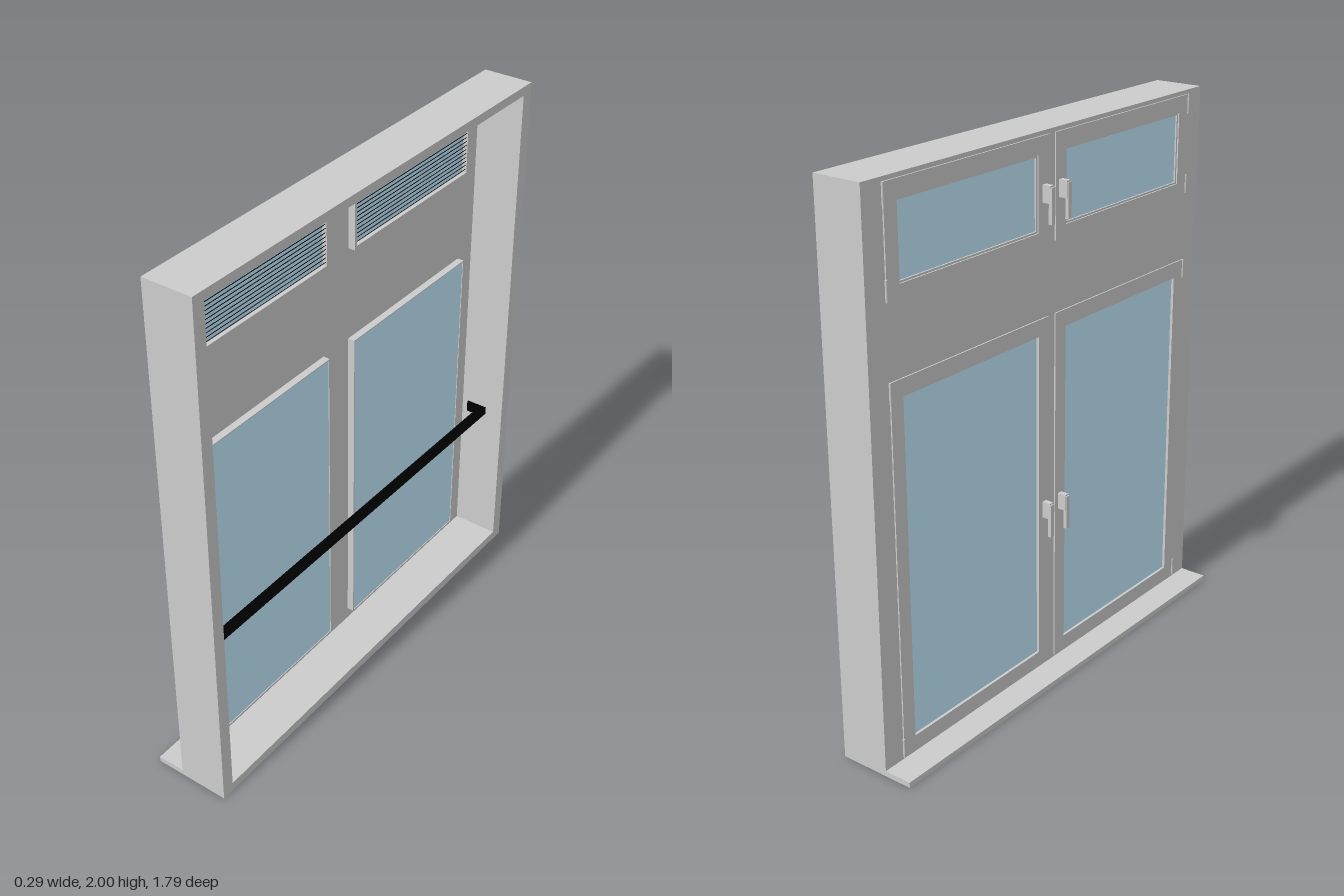
import * as THREE from 'three';

const grey = new THREE.MeshStandardMaterial({ color: 0xcccccc });
const blue = new THREE.MeshStandardMaterial({ color: 0xc1e9fd });
const black = new THREE.MeshStandardMaterial({ color: 0x000000 });

export function createModel() {
  const model = new THREE.Group();

  const add = (name, geometry, material = grey) => {
    const mesh = new THREE.Mesh(geometry, material);
    mesh.name = name;
    model.add(mesh);
    return mesh;
  };

  // Box given by its limits on each axis
  const box = (name, [x0, x1], [y0, y1], [z0, z1], material) => {
    const mesh = add(name, new THREE.BoxGeometry(x1 - x0, y1 - y0, z1 - z0), material);
    mesh.position.set((x0 + x1) / 2, (y0 + y1) / 2, (z0 + z1) / 2);
  };

  // Plate in the z-y plane with rectangular holes; rectangles are [z0, z1, y0, y1]
  const trace = (path, [z0, z1, y0, y1]) => {
    path.moveTo(-z1, y0);
    path.lineTo(-z0, y0);
    path.lineTo(-z0, y1);
    path.lineTo(-z1, y1);
    path.closePath();
    return path;
  };
  const plate = (name, outer, holes, x0, x1) => {
    const shape = trace(new THREE.Shape(), outer);
    shape.holes = holes.map((h) => trace(new THREE.Path(), h));
    const geometry = new THREE.ExtrudeGeometry(shape, { depth: x1 - x0, bevelEnabled: false });
    geometry.rotateY(Math.PI / 2).translate(x0, 0, 0);
    add(name, geometry);
  };

  // Rows of lights: opening height range, leaf height range, handle top
  const rows = [
    { name: 'lower', open: [0.08, 1.31], leaf: [0.03, 1.365], handle: 0.685 },
    { name: 'upper', open: [1.66, 1.93], leaf: [1.62, 1.985], handle: 1.825 },
  ];
  const sides = [1, -1];
  const span = (s, a, b) => (s > 0 ? [a, b] : [-b, -a]);

  // Deep outer lining, fixed frame and inner sill
  plate('outerLining', [-0.893, 0.893, 0, 2], [[-0.845, 0.845, 0.035, 1.967]], -0.034, 0.145);
  const openings = rows.flatMap((r) => sides.map((s) => [...span(s, 0.07, 0.755), ...r.open]));
  plate('fixedFrame', [-0.893, 0.893, 0, 2], openings, -0.042, -0.034);
  box('innerSill', [-0.147, -0.042], [0, 0.02], [-0.893, 0.893]);

  for (const r of rows) {
    for (const s of sides) {
      const [y0, y1] = r.open;
      const upper = r.name === 'upper';
      const rim = upper ? 0.012 : 0.004;

      // Casement: rim standing out of the frame, leaf overlapping it inside, glass
      plate(r.name + 'CasementRim', [...span(s, 0.07, 0.755), y0, y1],
        [[...span(s, 0.07 + rim, 0.755 - rim), y0 + rim, y1 - rim]], -0.042, -0.008);
      plate(r.name + 'CasementLeaf', [...span(s, 0.018, 0.805), ...r.leaf],
        [[...span(s, 0.075, 0.75), y0 + 0.005, y1 - 0.005]], -0.047, -0.042);
      box(r.name + 'Glass', [-0.036, upper ? -0.026 : -0.011],
        [y0 + 0.003, y1 - 0.003], span(s, 0.073, 0.752), blue);

      // Ventilation slats, outer edge raised
      if (upper) {
        const count = 16;
        for (let i = 0; i < count; i++) {
          const slat = add('ventSlat', new THREE.BoxGeometry(0.0145, 0.002, 0.661), black);
          slat.position.set(-0.017, y0 + 0.02 + (i * (y1 - y0 - 0.04)) / (count - 1), s * 0.4125);
          slat.rotation.z = Math.PI / 4;
        }
      }

      // Hinge barrels at the outer edge of the leaf
      for (const y of [r.leaf[0] + 0.035, r.leaf[1] - 0.035]) {
        const hinge = add(r.name + 'Hinge', new THREE.CylinderGeometry(0.004, 0.004, 0.07, 12));
        hinge.position.set(-0.047, y, s * 0.807);
      }

      // Handle: stem and hanging grip
      const h = r.handle;
      box(r.name + 'HandleStem', [-0.08, -0.046], [h - 0.06, h], span(s, 0.035, 0.055));
      box(r.name + 'HandleGrip', [-0.085, -0.072], [h - 0.13, h - 0.005], span(s, 0.036, 0.054));
    }
  }

  // Safety rail across the lower lights with tapered end plates
  box('safetyRail', [0.06, 0.085], [0.62, 0.65], [-0.82, 0.82], black);
  const endShape = new THREE.Shape([[0.003, 0.605], [0.02, 0.605], [0.085, 0.62], [0.085, 0.65], [0.003, 0.65]]
    .map(([x, y]) => new THREE.Vector2(x, y)));
  for (const s of sides) {
    const end = add('railEndPlate', new THREE.ExtrudeGeometry(endShape, { depth: 0.006, bevelEnabled: false }), black);
    end.position.z = s * 0.821 - 0.003;
  }

  return model;
}
